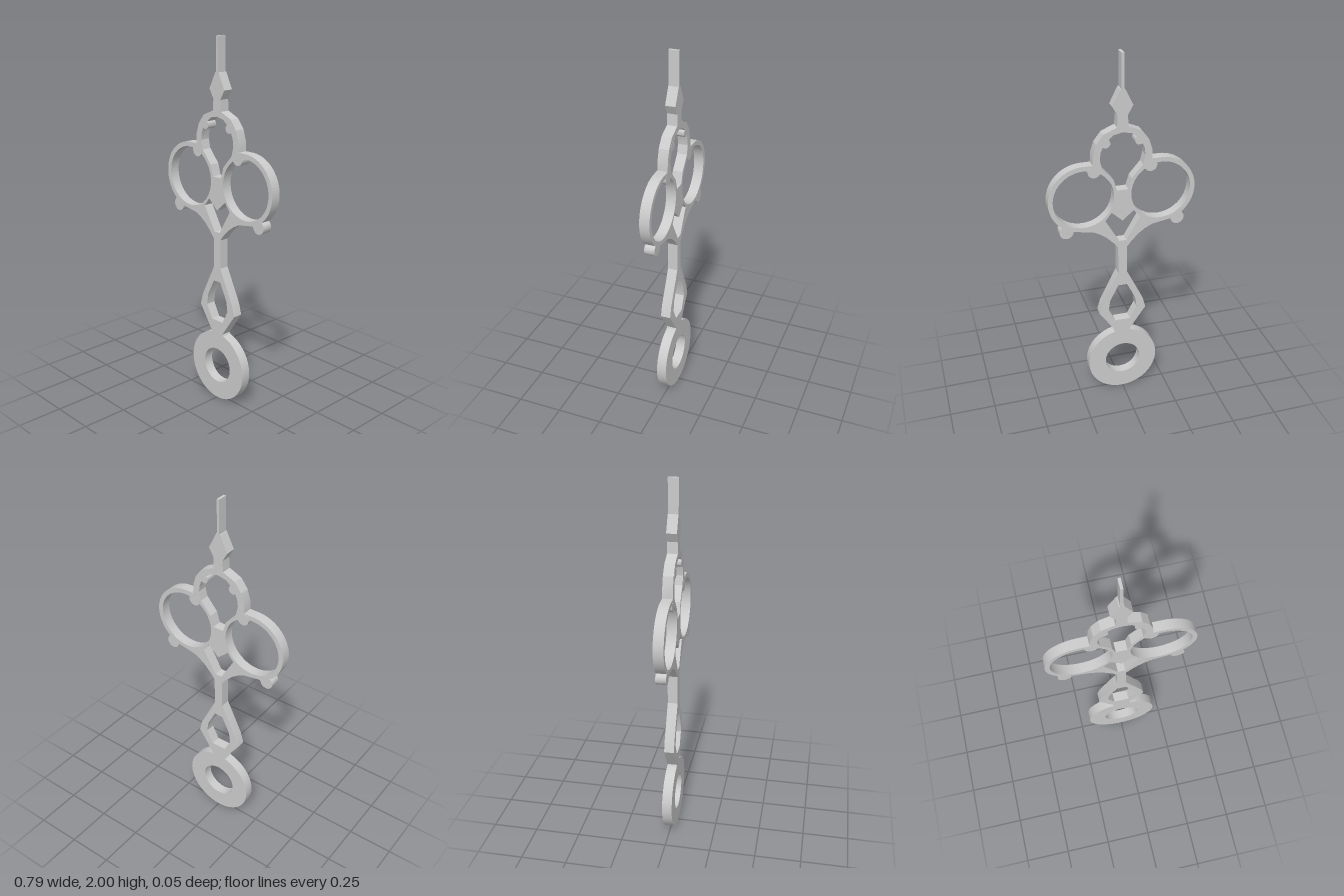
import * as THREE from 'three';
import { toCreasedNormals } from 'three/addons/utils/BufferGeometryUtils.js';

const THICK = 0.054;
const material = new THREE.MeshStandardMaterial({ color: 0xcccccc });

// Closed symmetric outline from its right half, listed bottom to top
function mirrored(half) {
  const left = half.filter(([x]) => x > 0).map(([x, y]) => [-x, y]).reverse();
  return [...half, ...left].map(([x, y]) => new THREE.Vector2(x, y));
}

function arc(cx, cy, r, from, to, n) {
  return Array.from({ length: n + 1 }, (_, i) => {
    const a = THREE.MathUtils.degToRad(from + ((to - from) * i) / n);
    return [cx + r * Math.cos(a), cy + r * Math.sin(a)];
  });
}

function circle(cx, cy, r, n = 48) {
  return arc(cx, cy, r, 0, 360, n).slice(0, n).map(([x, y]) => new THREE.Vector2(x, y));
}

// Flat plate centred on z = 0, cut from an outline with holes
function plate(name, outline, holes = [], thick = THICK) {
  const shape = new THREE.Shape(outline);
  shape.holes = holes.map((h) => new THREE.Path(h));
  const geo = new THREE.ExtrudeGeometry(shape, { depth: thick, bevelEnabled: false });
  geo.translate(0, 0, -thick / 2);
  const mesh = new THREE.Mesh(toCreasedNormals(geo, 0.35), material);
  mesh.name = name;
  return mesh;
}

export function createModel() {
  const group = new THREE.Group();
  group.name = 'clockHand';

  // Mounting ring at the foot
  group.add(plate('mountingRing', circle(0, 0.198, 0.198), [circle(0, 0.2, 0.1)]));

  // Pierced spindle and the lower half of the neck
  group.add(plate('spindle',
    mirrored([[0.048, 0.385], [0.042, 0.4], [0.132, 0.532], [0.115, 0.595], [0.025, 0.78], [0.025, 0.86]]),
    [mirrored([[0.042, 0.47], [0.08, 0.545], [0.072, 0.605], [0.025, 0.7]])]));

  // Filigree: arms, two side loops and the crown arch in one pierced plate
  const loopX = 0.207, loopY = 1.25;
  const filigree = mirrored([
    [0.025, 0.86], [0.025, 0.94], [0.05, 0.972], [0.09, 1.012], [0.125, 1.037], [0.163, 1.056],
    ...arc(loopX, loopY, 0.186, -72, 90, 28),
    [0.158, 1.436], [0.155, 1.49], [0.138, 1.545], [0.1, 1.595], [0.03, 1.625],
  ]);
  const crownHole = mirrored([
    [0.03, 1.28], [0.048, 1.34], [0.108, 1.41], [0.12, 1.46], [0.115, 1.5], [0.095, 1.545], [0.047, 1.587], [0, 1.597],
  ]);
  const diamondHole = mirrored([[0.02, 0.98], [0.095, 1.11], [0.06, 1.155], [0, 1.1]]);
  group.add(plate('filigree', filigree, [
    crownHole, diamondHole, circle(loopX, loopY, 0.161), circle(-loopX, loopY, 0.161),
  ]));

  // Spade-shaped finial and needle point
  group.add(plate('finial', mirrored([[0.03, 1.62], [0.026, 1.685], [0.054, 1.735], [0.012, 1.82]])));
  const needle = new THREE.Mesh(new THREE.BoxGeometry(0.014, 0.185, THICK), material);
  needle.name = 'needle';
  needle.position.y = 1.9075;
  group.add(needle);

  // Round knobs closing each scroll
  const knobs = [
    ['armKnob', 0.302, 1.075, 0.037],
    ['loopKnob', 0.15, 1.4, 0.034],
    ['crownKnob', 0.088, 1.545, 0.024],
  ];
  for (const [name, x, y, r] of knobs) {
    for (const side of [1, -1]) {
      const knob = plate(name + (side > 0 ? 'Left' : 'Right'), circle(0, 0, r, 20), [], THICK + 0.001);
      knob.position.set(side * x, y, 0);
      group.add(knob);
    }
  }
  return group;
}
